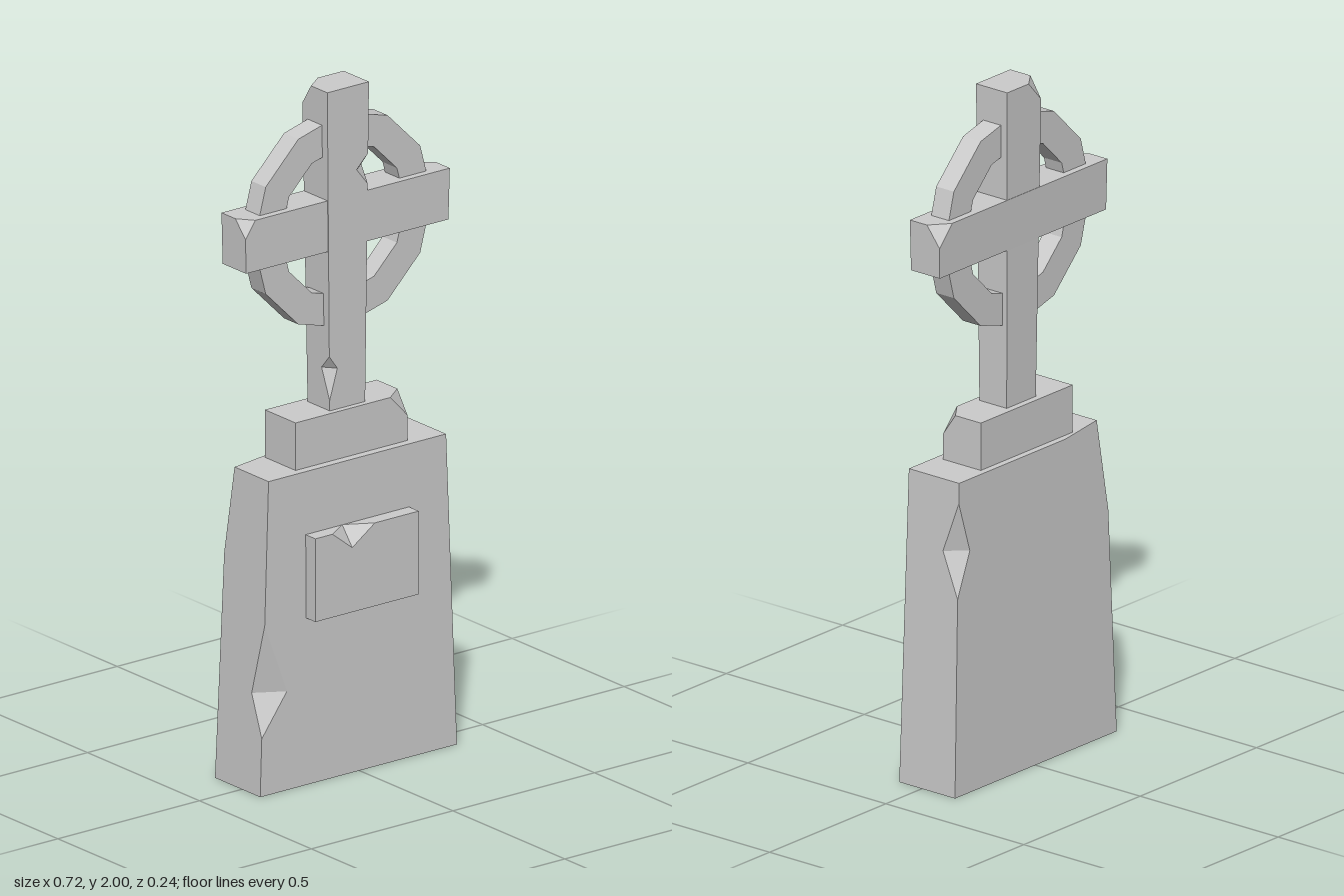
import * as THREE from 'three';

const stone = new THREE.MeshStandardMaterial({ color: 0xcccccc, flatShading: true });

// Corners in loop order, as signs of x and z
const CORNERS = [[1, 1], [1, -1], [-1, -1], [-1, 1]];

// Tapered block with chipped edges. bottom/top: [y, xMin, xMax, zMin, zMax].
// chips: { corner, from, peak, to, cx, cz }: the edge is cut back by cx and cz at peak.
function chippedBlock(name, bottom, top, chips = []) {
  const levels = [bottom[0], top[0]];
  for (const c of chips) levels.push(c.from, c.peak, c.to);
  const ys = [...new Set(levels)].filter((y) => y >= bottom[0] && y <= top[0]).sort((a, b) => a - b);

  const section = (y) => {
    const t = (y - bottom[0]) / (top[0] - bottom[0]);
    const [, x0, x1, z0, z1] = bottom.map((v, i) => THREE.MathUtils.lerp(v, top[i], t));
    return CORNERS.flatMap(([sx, sz], i) => {
      let cx = 0, cz = 0;
      for (const c of chips) {
        if (c.corner !== i || y <= c.from || y >= c.to) continue;
        const k = y <= c.peak ? (y - c.from) / (c.peak - c.from) : (c.to - y) / (c.to - c.peak);
        cx += c.cx * k;
        cz += c.cz * k;
      }
      const x = sx > 0 ? x1 : x0, z = sz > 0 ? z1 : z0;
      const alongX = new THREE.Vector3(x - sx * cx, y, z);
      const alongZ = new THREE.Vector3(x, y, z - sz * cz);
      return i % 2 ? [alongZ, alongX] : [alongX, alongZ];
    });
  };

  const pos = [];
  const tri = (a, b, c) => {
    if (new THREE.Triangle(a, b, c).getArea() < 1e-8) return;
    for (const p of [a, b, c]) pos.push(p.x, p.y, p.z);
  };
  const rows = ys.map(section);
  for (let r = 0; r < rows.length - 1; r++) {
    for (let i = 0; i < 8; i++) {
      const j = (i + 1) % 8;
      tri(rows[r][i], rows[r][j], rows[r + 1][j]);
      tri(rows[r][i], rows[r + 1][j], rows[r + 1][i]);
    }
  }
  const last = rows[rows.length - 1];
  for (let i = 1; i < 7; i++) {
    tri(rows[0][0], rows[0][i + 1], rows[0][i]);
    tri(last[0], last[i], last[i + 1]);
  }
  const geo = new THREE.BufferGeometry();
  geo.setAttribute('position', new THREE.Float32BufferAttribute(pos, 3));
  geo.computeVertexNormals();
  const mesh = new THREE.Mesh(geo, stone);
  mesh.name = name;
  return mesh;
}

// Twelve-sided ring behind the cross arms
function ring(outer, inner, depth) {
  const polygon = (r) => Array.from({ length: 12 }, (_, i) => {
    const a = (i * Math.PI) / 6;
    return new THREE.Vector2(r * Math.cos(a), r * Math.sin(a));
  });
  const shape = new THREE.Shape(polygon(outer));
  shape.holes.push(new THREE.Path(polygon(inner)));
  const mesh = new THREE.Mesh(new THREE.ExtrudeGeometry(shape, { depth, bevelEnabled: false }), stone);
  mesh.name = 'crossRing';
  return mesh;
}

export function createModel() {
  const group = new THREE.Group();
  group.name = 'gravestone';

  // Tapered slab, chipped on three of its upright edges
  group.add(chippedBlock('slab', [0, -0.35, 0.345, -0.12, 0.082], [0.92, -0.315, 0.312, -0.107, 0.075], [
    { corner: 3, from: 0.17, peak: 0.29, to: 0.5, cx: 0.085, cz: 0.05 },
    { corner: 1, from: 0.58, peak: 0.71, to: 0.86, cx: 0.05, cz: 0.055 },
    { corner: 2, from: 0.66, peak: 0.92, to: 1.1, cx: 0.17, cz: 0.03 },
  ]));

  // Plaque, built along x so that its top edge can be chipped
  const plaque = chippedBlock('plaque', [-0.185, -0.735, -0.49, 0.05, 0.12], [0.18, -0.735, -0.49, 0.05, 0.12], [
    { corner: 3, from: -0.125, peak: -0.055, to: 0.025, cx: 0.055, cz: 0.045 },
  ]);
  plaque.rotation.z = -Math.PI / 2;
  group.add(plaque);

  // Step under the cross
  group.add(chippedBlock('plinth', [0.92, -0.2, 0.195, -0.087, 0.05], [1.06, -0.2, 0.195, -0.087, 0.05], [
    { corner: 0, from: 0.995, peak: 1.06, to: 1.2, cx: 0.06, cz: 0.045 },
  ]));

  // Cross
  group.add(chippedBlock('crossUpright', [1.06, -0.065, 0.06, -0.067, 0.032], [2, -0.075, 0.072, -0.079, 0.034], [
    { corner: 3, from: 1.09, peak: 1.18, to: 1.22, cx: 0.028, cz: 0.035 },
    { corner: 0, from: 1.7, peak: 1.75, to: 1.79, cx: 0.04, cz: 0.03 },
    { corner: 2, from: 1.94, peak: 2, to: 2.1, cx: 0.055, cz: 0.04 },
  ]));
  group.add(chippedBlock('crossArm', [1.53, -0.36, 0.355, -0.073, 0.031], [1.68, -0.362, 0.36, -0.076, 0.031], [
    { corner: 3, from: 1.63, peak: 1.68, to: 1.8, cx: 0.035, cz: 0.045 },
    { corner: 1, from: 1.62, peak: 1.68, to: 1.8, cx: 0.055, cz: 0.045 },
  ]));
  const crossRing = ring(0.315, 0.22, 0.064);
  crossRing.position.set(0, 1.602, -0.055);
  group.add(crossRing);

  return group;
}
